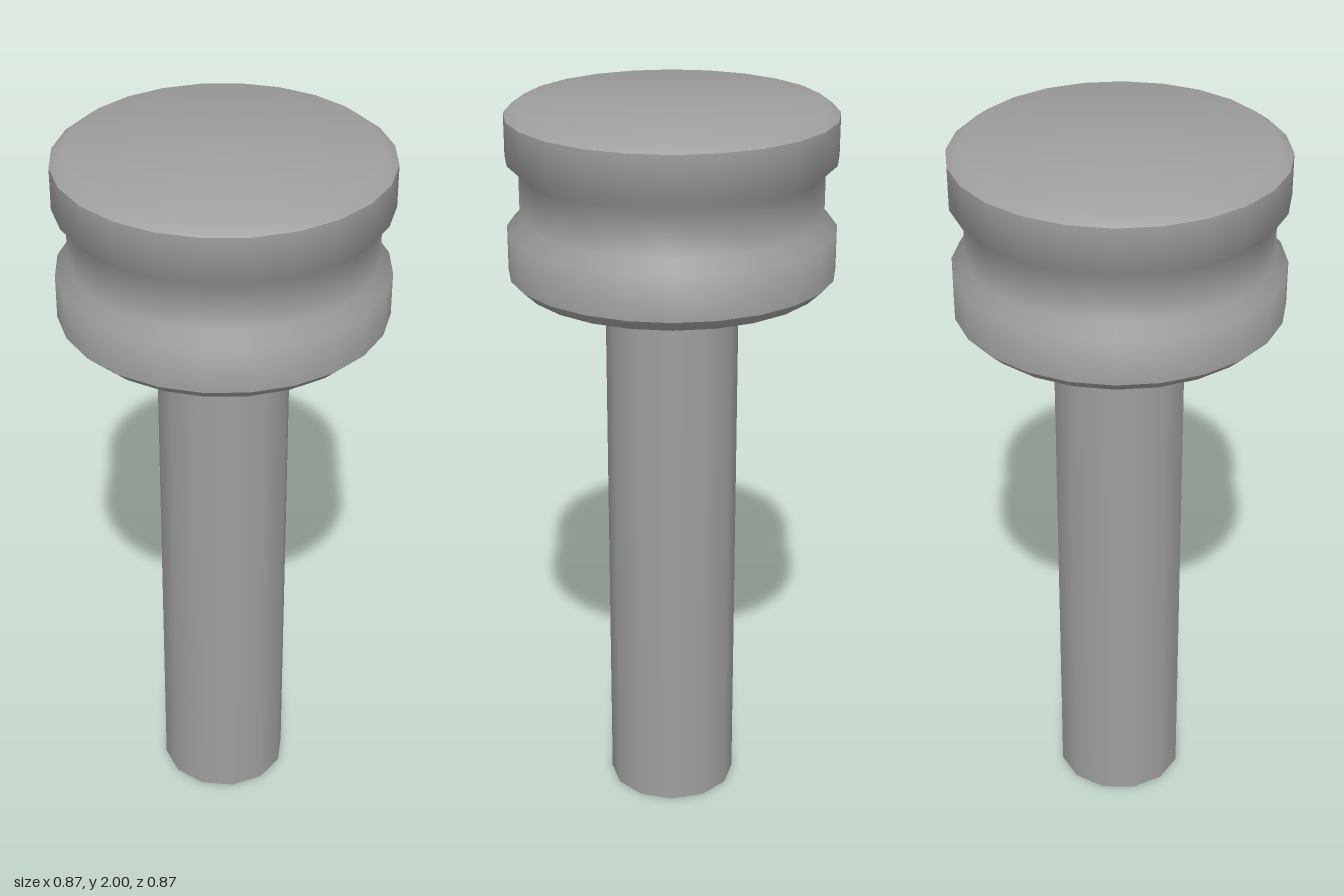
import * as THREE from 'three';

const material = new THREE.MeshStandardMaterial({ color: 0x9f9f9f, side: THREE.DoubleSide });

// Smooth surface of revolution; profile of [radius, height] runs from bottom to top.
function turned(name, profile, sides) {
  const points = profile.map(([r, y]) => new THREE.Vector2(r, y));
  const geometry = new THREE.LatheGeometry(points, sides);

  // Neighbouring bands count equally in each normal, so small bevels shade softly into wide faces
  const bands = points.slice(1).map((p, i) =>
    new THREE.Vector2(p.y - points[i].y, points[i].x - p.x).normalize());
  const rings = points.map((p, i) => {
    const below = bands[Math.max(i - 1, 0)];
    const above = bands[Math.min(i, bands.length - 1)];
    return below.clone().add(above).normalize();
  });
  const normal = geometry.attributes.normal;
  for (let i = 0; i < normal.count; i++) {
    const angle = Math.floor(i / points.length) / sides * Math.PI * 2;
    const n = rings[i % points.length];
    normal.setXYZ(i, n.x * Math.sin(angle), n.y, n.x * Math.cos(angle));
  }

  const mesh = new THREE.Mesh(geometry, material);
  mesh.name = name;
  return mesh;
}

export function createModel() {
  const model = new THREE.Group();
  model.name = 'groovedPin';

  // Head: three bands that meet at sharp edges
  const head = new THREE.Group();
  head.name = 'head';
  head.add(
    turned('headUnderside', [[0, 1.525], [0.4, 1.525], [0.434, 1.557]], 24),
    turned('headGroovedSide', [
      [0.434, 1.557], [0.434, 1.675], [0.4, 1.71],
      [0.4, 1.83], [0.434, 1.863], [0.434, 1.975],
    ], 24),
    turned('headTop', [[0.434, 1.975], [0.4, 2], [0, 2]], 24),
  );

  // Shaft: plain tube, open at the foot
  const shaft = turned('shaft', [[0.178, 0], [0.178, 1.525]], 12);

  model.add(head, shaft);
  return model;
}
